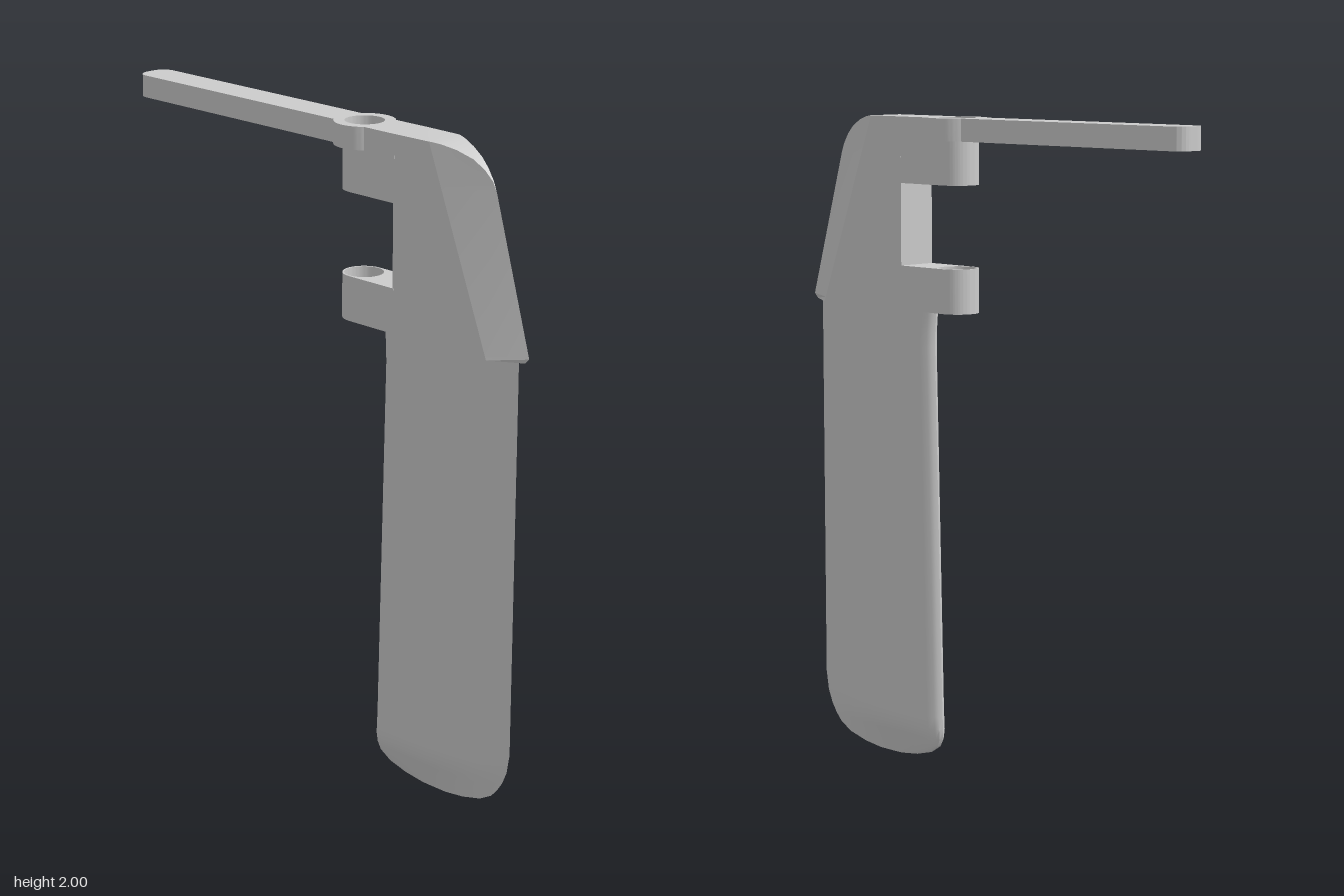
import * as THREE from 'three';
import { toCreasedNormals } from 'three/addons/utils/BufferGeometryUtils.js';

const PIN_Z = 0.145; // pin axis shared by the lugs and the tiller ring
const PIN_R = 0.058;

// Skin a stack of closed horizontal sections { y, pts: [[x, z], ...] }, bottom to top, with caps
function loft(sections, crease) {
  const n = sections[0].pts.length;
  const pos = sections.flatMap(s => s.pts.flatMap(([x, z]) => [x, s.y, z]));
  const idx = [];
  for (let r = 0; r < sections.length - 1; r++) {
    for (let i = 0; i < n; i++) {
      const a = r * n + i, b = r * n + (i + 1) % n;
      idx.push(a, a + n, b, b, a + n, b + n);
    }
  }
  const top = (sections.length - 1) * n;
  for (let i = 1; i < n - 1; i++) idx.push(0, i, i + 1, top, top + i + 1, top + i);
  const g = new THREE.BufferGeometry();
  g.setAttribute('position', new THREE.Float32BufferAttribute(pos, 3));
  g.setIndex(idx);
  return toCreasedNormals(g.toNonIndexed(), crease);
}

// Extrude a plan shape (x, z) with the pin hole down from yTop to yBottom
function plate(shape, yBottom, yTop) {
  shape.holes.push(new THREE.Path().absarc(0, PIN_Z, PIN_R, 0, Math.PI * 2, true));
  const g = new THREE.ExtrudeGeometry(shape, { depth: yTop - yBottom, bevelEnabled: false, curveSegments: 32 });
  g.rotateX(Math.PI / 2).translate(0, yTop, 0);
  return toCreasedNormals(g, 0.6);
}

// Foil blade: rounded edge to the rear, sharp edge to the front, wedge-shaped tip
function bladeGeometry() {
  const half = [[0, 0], [0.01, 0.3], [0.03, 0.52], [0.07, 0.74], [0.14, 0.91], [0.22, 0.98],
    [0.32, 1], [0.45, 0.94], [0.6, 0.77], [0.8, 0.42], [1, 0]];
  // y, rear z, front z
  const rows = [[0.003, 0.40, 0.50], [0.012, 0.33, 0.57], [0.03, 0.265, 0.64], [0.055, 0.227, 0.685],
    [0.08, 0.216, 0.708], [0.11, 0.214, 0.728], [0.15, 0.216, 0.745], [0.21, 0.218, 0.755],
    [1.3, 0.245, 0.757], [1.35, 0.244, 0.757], [1.42, 0.238, 0.757]];
  return loft(rows.map(([y, zb, zf]) => {
    const t = 0.04 * Math.min(1, y / 0.11);
    const side = half.map(([u, w]) => [w * t, zb + (zf - zb) * u]);
    const other = side.slice(1, -1).reverse().map(([x, z]) => [-x, z]);
    return { y, pts: [...side, ...other] };
  }), 0.5);
}

// Head: sides taper slightly, then chamfer to a raked ridge that is rounded over at the top
function headGeometry() {
  const width = z => 0.067 - 0.02 * (z - 0.2);
  // y, front z of the profile
  const rows = [[1.415, 0.78], [1.43, 0.795], [1.88, 0.662], [1.91, 0.648], [1.94, 0.622],
    [1.965, 0.588], [1.985, 0.54], [1.996, 0.495], [2, 0.465]];
  return loft(rows.map(([y, zp]) => {
    const shoulder = 0.685 - 0.385 * (y - 1.415);
    const ridge = Math.max(zp, 0.795 - 0.2956 * (y - 1.43));
    const ws = width(shoulder), wb = width(0.325);
    const xt = y < 1.88 ? 0 : ws * (ridge - zp) / (ridge - shoulder);
    return { y, pts: [[wb, 0.325], [ws, shoulder], [xt, zp], [-xt, zp], [-ws, shoulder], [-wb, 0.325]] };
  }), 0.3);
}

// Lug: block with a round, bored end
function lugShape() {
  const r = 0.0645, s = new THREE.Shape();
  s.moveTo(r, 0.33);
  s.lineTo(-r, 0.33);
  s.lineTo(-r, PIN_Z);
  s.absarc(0, PIN_Z, r - 0.001, Math.PI, Math.PI * 2, false);
  s.closePath();
  return s;
}

// Tiller: ring running into a long bar with rounded end corners
function tillerShape() {
  const R = 0.09, w = 0.055, end = -0.79, c = 0.042;
  const a = Math.asin(w / R);
  const s = new THREE.Shape();
  s.absarc(0, PIN_Z, R, -Math.PI / 2 + a, Math.PI * 1.5 - a, false);
  s.lineTo(-w, end + c);
  s.absarc(-w + c, end + c, c, Math.PI, Math.PI * 1.5, false);
  s.absarc(w - c, end + c, c, -Math.PI / 2, 0, false);
  s.closePath();
  return s;
}

export function createModel() {
  const group = new THREE.Group();
  const material = new THREE.MeshStandardMaterial({ color: 0xcccccc });
  const add = (name, geometry) => {
    const mesh = new THREE.Mesh(geometry, material);
    mesh.name = name;
    group.add(mesh);
  };
  add('blade', bladeGeometry());
  add('head', headGeometry());
  add('lowerLug', plate(lugShape(), 1.415, 1.55));
  add('upperLug', plate(lugShape(), 1.8, 2));
  add('tiller', plate(tillerShape(), 1.932, 2));
  return group;
}
